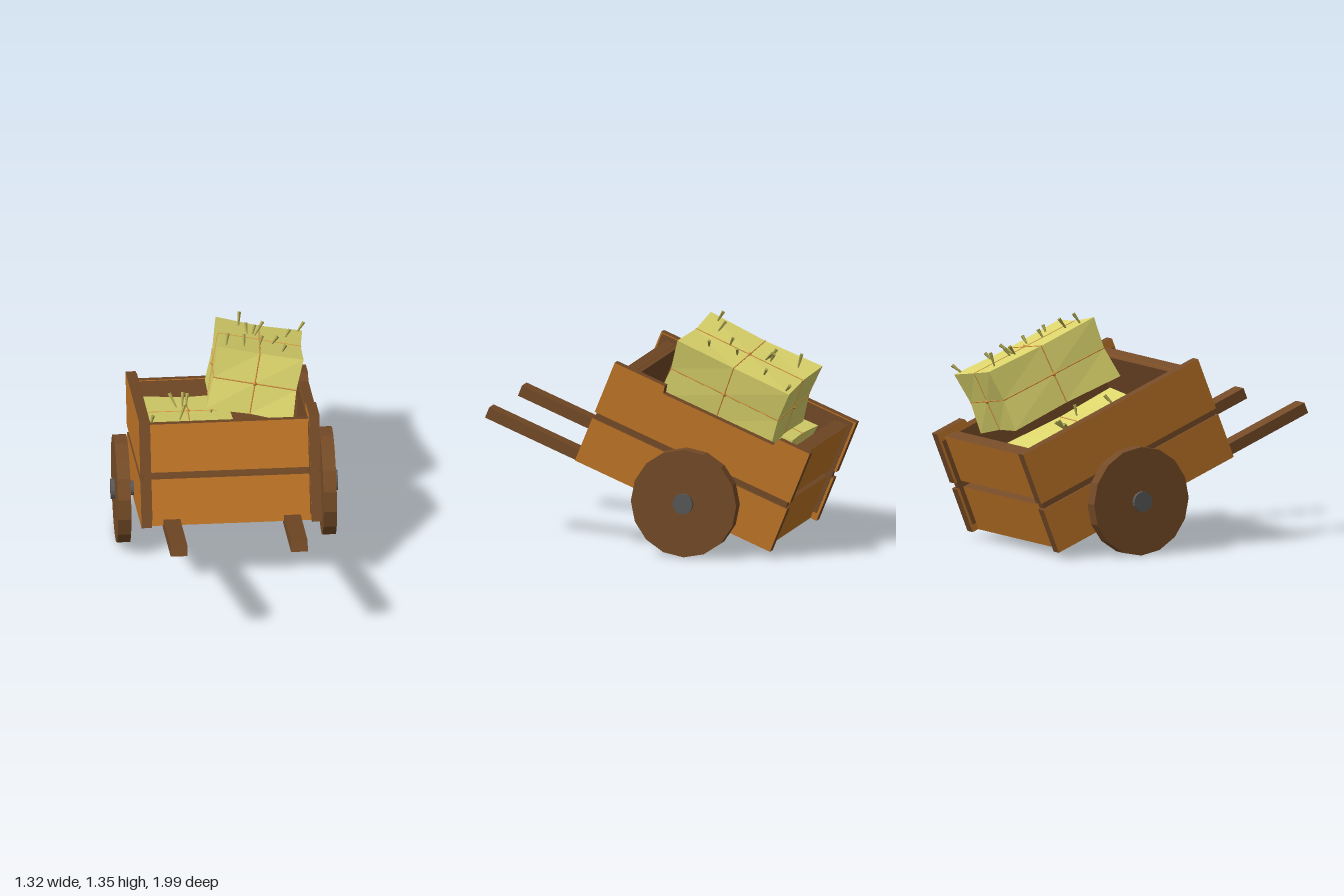
import * as THREE from 'three';

const mat = (name, color) => {
  const m = new THREE.MeshStandardMaterial({ color });
  m.name = name;
  return m;
};

// faceted normals
const flat = (g) => {
  const f = g.index ? g.toNonIndexed() : g;
  f.computeVertexNormals();
  return f;
};

export function createModel() {
  const orange = mat('plankOrange', 0xbf7526);
  const brown = mat('woodBrown', 0x754b27);
  const grey = mat('axleGrey', 0x585858);
  const hay = mat('hayYellow', 0xdcd56c);
  const straw = mat('strawOlive', 0xaaa350);
  const twine = mat('twineOrange', 0xcf8d3c);

  const model = new THREE.Group();
  model.name = 'hayCart';
  const body = new THREE.Group();
  body.name = 'tiltedBody';
  body.position.set(0, 0.32, -0.265);
  body.rotation.x = -0.386;
  model.add(body);

  const add = (parent, name, geo, material) => {
    const m = new THREE.Mesh(geo, material);
    m.name = name;
    parent.add(m);
    return m;
  };
  // box given by its limits on each axis
  const box = (name, [x0, x1], [y0, y1], [z0, z1], material) => {
    const g = new THREE.BoxGeometry(x1 - x0, y1 - y0, z1 - z0);
    g.translate((x0 + x1) / 2, (y0 + y1) / 2, (z0 + z1) / 2);
    return add(body, name, g, material);
  };

  // plank faces are orange, their exposed edges brown
  const sideFaces = [orange, orange, brown, orange, brown, brown];
  const endFaces = [brown, brown, brown, orange, orange, orange];
  const low = [-0.077, 0.2];

  // side walls
  box('rightLowerPlank', [-0.525, -0.465], low, [-0.56, 0.71], sideFaces);
  box('rightUpperPlank', [-0.525, -0.465], [0.24, 0.56], [-0.56, 0.71], sideFaces);
  box('leftLowerPlank', [0.465, 0.525], low, [-0.56, 0.71], sideFaces);
  box('rightLining', [-0.505, -0.46], [-0.034, 0.553], [-0.545, 0.7], brown);
  box('leftLining', [0.46, 0.505], [-0.034, 0.51], [-0.545, 0.7], brown);

  // left upper plank with a worn dip along its top
  const dip = new THREE.Shape([
    [-0.71, 0.24], [0.56, 0.24], [0.56, 0.56], [0.36, 0.56], [0.34, 0.515],
    [-0.375, 0.515], [-0.385, 0.56], [-0.71, 0.56],
  ].map(([x, y]) => new THREE.Vector2(x, y)));
  const dipGeo = new THREE.ExtrudeGeometry(dip, { depth: 0.06, bevelEnabled: false });
  dipGeo.rotateY(Math.PI / 2);
  dipGeo.translate(0.465, 0, 0);
  add(body, 'leftUpperPlank', dipGeo, [orange, brown]);

  // front and back walls
  for (const [name, z, lining] of [
    ['front', [0.605, 0.662], [0.58, 0.607]],
    ['back', [-0.52, -0.46], [-0.462, -0.435]],
  ]) {
    box(name + 'LowerPlank', [-0.465, 0.465], low, z, endFaces);
    box(name + 'UpperPlank', [-0.465, 0.465], [0.24, 0.527], z, endFaces);
    box(name + 'Lining', [-0.462, 0.462], [-0.034, 0.522], lining, brown);
  }
  box('floor', [-0.462, 0.462], [0.05, 0.08], [-0.45, 0.59], brown);

  // pull handles
  for (const x of [-0.345, 0.355]) {
    box('handle', [x - 0.049, x + 0.049], [-0.108, -0.042], [-0.106, 1.32], brown);
  }

  // axle, wheels and hub caps
  const disc = (name, r, x, width, sides, material) => {
    const g = flat(new THREE.CylinderGeometry(r, r, width, sides));
    g.rotateZ(Math.PI / 2);
    add(model, name, g, material).position.set(x, 0.318, -0.265);
  };
  disc('axle', 0.042, 0, 1.3, 16, grey);
  for (const s of [-1, 1]) {
    disc('wheel', 0.318, s * 0.598, 0.077, 16, brown);
    disc('hubCap', 0.06, s * 0.649, 0.022, 16, grey);
  }

  // thin rod between two points, r0 at the start and r1 at the end
  const rod = (parent, name, a, b, r0, r1, material) => {
    const d = b.clone().sub(a);
    const g = flat(new THREE.CylinderGeometry(r1, r0, d.length(), 5));
    const m = add(parent, name, g, material);
    m.position.copy(a).addScaledVector(d, 0.5);
    m.quaternion.setFromUnitVectors(new THREE.Vector3(0, 1, 0), d.normalize());
  };

  // bale squeezed in along its three middle planes, tied with twine
  const half = new THREE.Vector3(0.255, 0.19, 0.37);
  const squeeze = (x, y, z) => {
    const v = new THREE.Vector3(x, y, z);
    const zeros = [x, y, z].filter((c) => Math.abs(c) < 0.01).length;
    return v.multiply(half).multiplyScalar(1 - 0.045 * Math.min(zeros, 1));
  };
  const ring = [[1, 1], [0, 1], [-1, 1], [-1, 0], [-1, -1], [0, -1], [1, -1], [1, 0]];
  const bale = (name, position, roll, yaw, straws) => {
    const g = new THREE.Group();
    g.name = name;
    g.position.set(...position);
    g.rotation.set(0, yaw, roll);
    body.add(g);

    const geo = new THREE.BoxGeometry(2, 2, 2, 2, 2, 2);
    const p = geo.attributes.position;
    for (let i = 0; i < p.count; i++) {
      const v = squeeze(p.getX(i), p.getY(i), p.getZ(i));
      p.setXYZ(i, v.x, v.y, v.z);
    }
    add(g, 'hayBlock', flat(geo), hay);

    const planes = [(a, b) => squeeze(0, a, b), (a, b) => squeeze(a, 0, b), (a, b) => squeeze(a, b, 0)];
    for (const at of planes) {
      ring.forEach((q, i) => {
        const n = ring[(i + 1) % ring.length];
        rod(g, 'twine', at(...q), at(...n), 0.004, 0.004, twine);
      });
    }
    for (const c of [[0, 1, 0], [0, 0, 1], [1, 0, 0], [-1, 0, 0], [0, 0, -1]]) {
      add(g, 'knot', flat(new THREE.OctahedronGeometry(0.017)), twine).position.copy(squeeze(...c));
    }

    // loose straws: x, z, lean in x, lean in z, length
    for (const [x, z, lx, lz, len] of straws) {
      const a = new THREE.Vector3(x, 0.175, z);
      const dir = new THREE.Vector3(lx, 1, lz).normalize();
      rod(g, 'straw', a, a.clone().addScaledVector(dir, len + 0.012), 0.004, 0.011, straw);
    }
  };

  bale('lowerBale', [-0.2, 0.265, 0.015], 0, -0.02, [
    [-0.06, -0.1, -0.5, -0.6, 0.09], [-0.03, -0.11, 0.1, -0.3, 0.08], [-0.01, -0.1, 0.2, -0.6, 0.08],
    [-0.06, 0.22, 0.4, -0.3, 0.09], [-0.235, 0.33, 0.3, 0.2, 0.06], [0.13, 0.05, 0.2, 0.3, 0.06],
  ]);
  bale('upperBale', [0.19, 0.685, 0.045], -0.19, -0.05, [
    [-0.12, -0.27, -0.1, 0.1, 0.08], [-0.03, -0.09, 0.45, -0.5, 0.09], [-0.07, -0.1, -0.3, -0.3, 0.06],
    [-0.04, -0.12, 0.1, -0.2, 0.05], [0.07, 0.05, 0.5, 0.1, 0.05], [0.15, -0.16, 0.4, -0.2, 0.05],
    [0, 0.13, 0.1, -0.1, 0.05], [0.13, 0.21, 0.3, 0.2, 0.04], [-0.09, 0.25, -0.2, -0.3, 0.07],
    [0.22, -0.33, 0.5, -0.4, 0.07], [-0.2, 0.3, 0, -0.2, 0.07],
  ]);

  return model;
}
